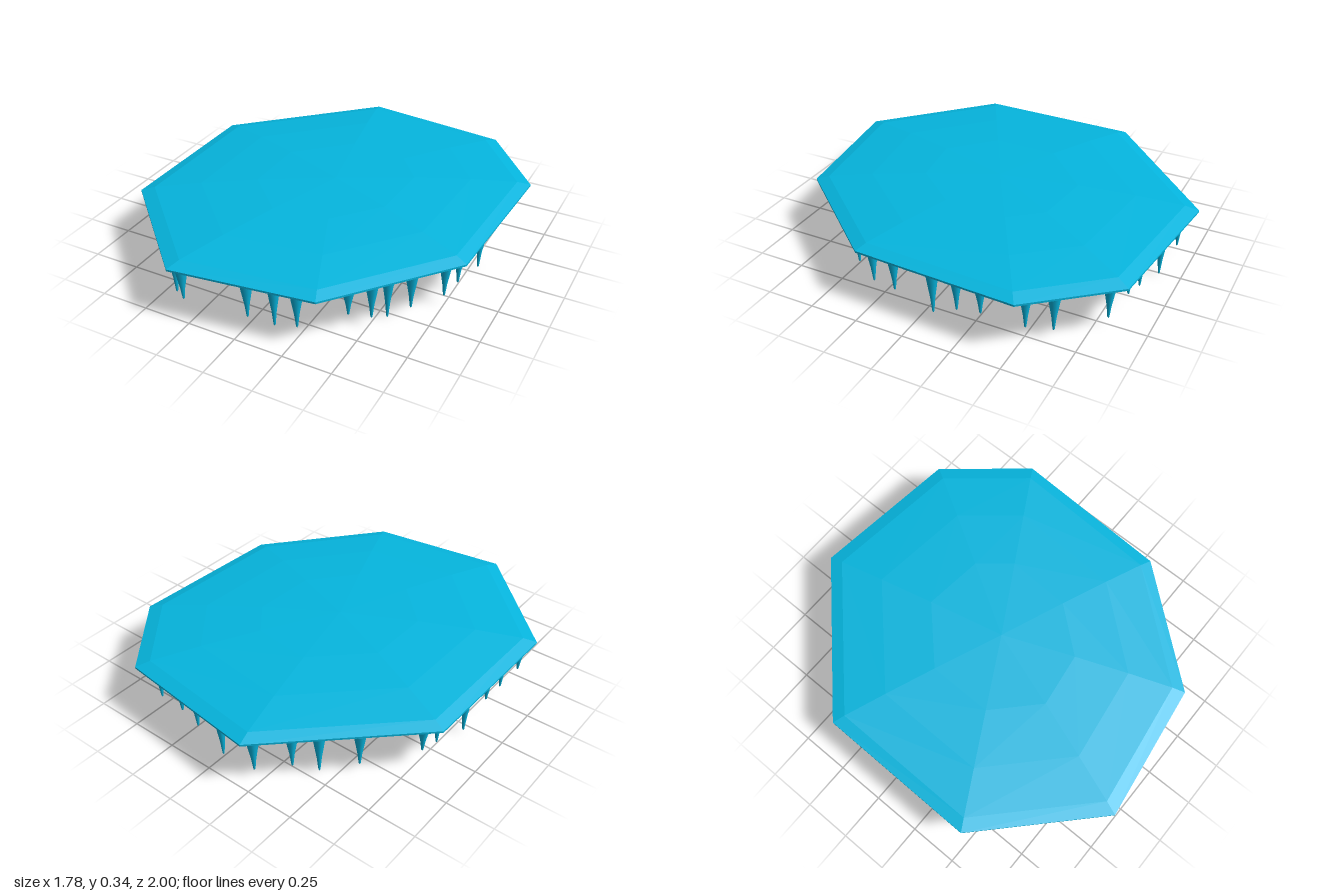
import * as THREE from 'three';

// Plan outline of the irregular eight-sided slab, as [x, z]
const OUTLINE = [
  [-0.22, -1.0], [0.56, -0.91], [0.89, -0.51], [0.85, 0.33],
  [0.37, 0.9], [-0.35, 1.0], [-0.89, 0.48], [-0.88, -0.37],
];

// Cross-section from crown, round the rim, to the inner lip, as [outline scale, y]
const SECTION = [
  [0, 0.342], [0.4, 0.333], [0.69, 0.316], [0.93, 0.293], [1, 0.275],
  [1, 0.265], [0.965, 0.246], [0.92, 0.237], [0.78, 0.235],
];

// Spikes grouped by edge of the slab, as [x, z, height of tip]
const SPIKES = [
  // back
  [-0.21, -0.91, 0.045], [0.01, -0.89, 0], [0.21, -0.855, 0.045],
  [0.33, -0.84, 0.07], [0.51, -0.81, 0.045],
  // left
  [0.7, -0.62, 0.04], [0.745, -0.5, 0.045], [0.78, -0.29, 0.075], [0.77, -0.16, 0.045],
  [0.79, -0.045, 0.005], [0.765, 0.18, 0.045], [0.745, 0.31, 0.045],
  [0.64, 0.465, 0.045], [0.55, 0.53, 0], [0.51, 0.62, 0.045], [0.43, 0.7, 0.09],
  // front
  [0.24, 0.84, 0.045], [0.12, 0.84, 0.01], [0.0, 0.88, 0.045], [-0.33, 0.92, 0.06],
  [-0.43, 0.84, 0.015], [-0.545, 0.705, 0.015],
  // right
  [-0.715, 0.575, 0.045], [-0.82, 0.45, 0.085], [-0.8, 0.31, 0.05], [-0.81, 0.15, 0.075],
  [-0.805, -0.045, 0.005], [-0.77, -0.235, 0.045], [-0.77, -0.36, 0.085],
  [-0.57, -0.58, 0.045], [-0.43, -0.705, 0.015], [-0.33, -0.78, 0.045],
];

// Skins the scaled outlines into a faceted shell, open underneath
function slabGeometry() {
  const verts = [];
  const n = OUTLINE.length;
  const at = ([s, y], i) => [OUTLINE[i % n][0] * s, y, OUTLINE[i % n][1] * s];
  for (let r = 0; r < SECTION.length - 1; r++) {
    const up = SECTION[r], low = SECTION[r + 1];
    for (let i = 0; i < n; i++) {
      if (up[0] > 0) verts.push(...at(up, i), ...at(up, i + 1), ...at(low, i + 1));
      verts.push(...at(up, i), ...at(low, i + 1), ...at(low, i));
    }
  }
  const geometry = new THREE.BufferGeometry();
  geometry.setAttribute('position', new THREE.Float32BufferAttribute(verts, 3));
  geometry.computeVertexNormals();
  return geometry;
}

// Flared spike of unit length hanging from y = 0
function spikeGeometry() {
  const profile = [[0, -1], [0.005, -0.96], [0.0125, -0.62], [0.024, -0.28], [0.031, -0.06], [0.033, 0], [0, 0]];
  return new THREE.LatheGeometry(profile.map(([x, y]) => new THREE.Vector2(x, y)), 12);
}

export function createModel() {
  const model = new THREE.Group();
  model.name = 'spikedSlab';
  const blue = new THREE.MeshStandardMaterial({ color: 0x05b6df, side: THREE.DoubleSide });
  blue.name = 'iceBlue';

  // Domed shell with an inward lip
  const slab = new THREE.Mesh(slabGeometry(), blue);
  slab.name = 'slab';
  model.add(slab);

  // Spikes hanging under the rim
  const spikes = new THREE.Group();
  spikes.name = 'spikes';
  const geometry = spikeGeometry();
  const top = 0.242;
  for (const [x, z, tip] of SPIKES) {
    const spike = new THREE.Mesh(geometry, blue);
    spike.name = 'spike';
    spike.position.set(x, top, z);
    spike.scale.y = top - tip;
    spikes.add(spike);
  }
  model.add(spikes);
  return model;
}
